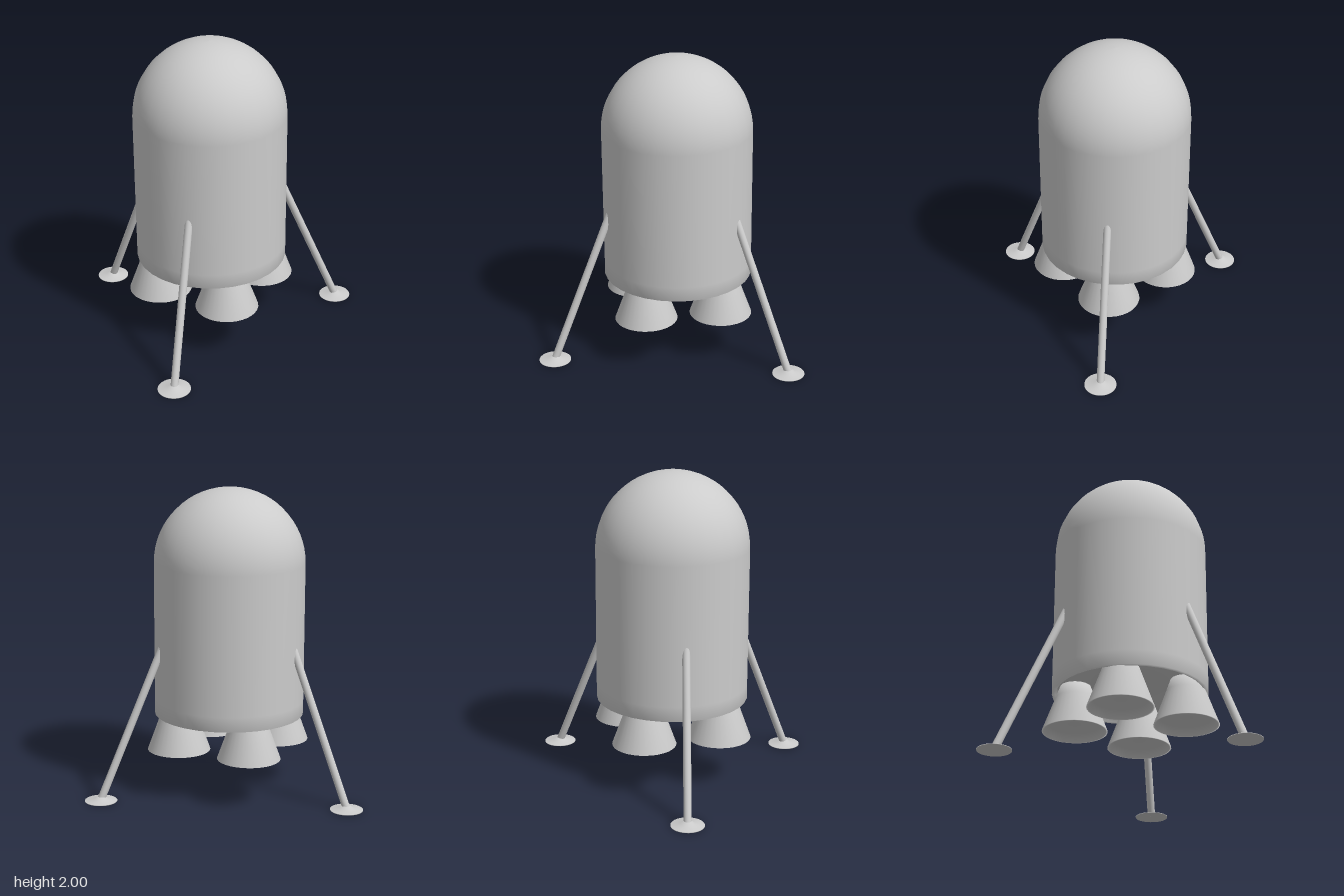
import * as THREE from 'three';

const mat = new THREE.MeshStandardMaterial({ color: 0xcccccc, side: THREE.DoubleSide });

// Surface of revolution from [radius, y] pairs, listed bottom to top on the outside
function lathe(name, pts, segments = 32) {
  const geo = new THREE.LatheGeometry(pts.map(([r, y]) => new THREE.Vector2(r, y)), segments);
  const mesh = new THREE.Mesh(geo, mat);
  mesh.name = name;
  return mesh;
}

// Round bar between two points
function strut(name, a, b, radius) {
  const dir = b.clone().sub(a);
  const mesh = new THREE.Mesh(new THREE.CylinderGeometry(radius, radius, dir.length(), 16), mat);
  mesh.position.copy(a).add(b).multiplyScalar(0.5);
  mesh.quaternion.setFromUnitVectors(new THREE.Vector3(0, 1, 0), dir.normalize());
  mesh.name = name;
  return mesh;
}

export function createModel() {
  const model = new THREE.Group();
  model.name = 'lander';
  const cx = -0.185, cz = -0.02, R = 0.49, base = 0.515, shoulder = 1.51;

  // Capsule hull: shallow recessed underside, straight wall, hemispherical dome
  const profile = [[0, base + 0.08], [0.46, base + 0.08], [0.465, base], [R, base], [R, 0.61], [R, shoulder]];
  for (let i = 1; i <= 16; i++) {
    const a = (i / 16) * Math.PI / 2;
    profile.push([i === 16 ? 0 : R * Math.cos(a), shoulder + R * Math.sin(a)]);
  }
  const hull = lathe('hull', profile);
  hull.position.set(cx, 0, cz);
  model.add(hull);

  // Four flared engine nozzles around the underside
  for (let i = 0; i < 4; i++) {
    const a = (i * Math.PI) / 2;
    const nozzle = lathe('nozzle', [
      [0, 0.345], [0.165, 0.345], [0.195, 0.295], [0.205, 0.295], [0.125, 0.515], [0.095, 0.6], [0, 0.6],
    ]);
    nozzle.position.set(cx + 0.35 * Math.cos(a), 0, cz + 0.35 * Math.sin(a));
    model.add(nozzle);
  }

  // Three splayed legs: foot position and the point where each meets the hull
  const legs = [
    { foot: [0.705, -0.025], joint: [0.305, -0.025] },
    { foot: [-0.65, 0.725], joint: [-0.452, 0.392] },
    { foot: [-0.71, -0.735], joint: [-0.5, -0.395] },
  ];
  for (const { foot, joint } of legs) {
    const leg = new THREE.Group();
    leg.name = 'leg';
    const bottom = new THREE.Vector3(foot[0], 0.01, foot[1]);
    const top = new THREE.Vector3(joint[0], 0.93, joint[1]);
    top.lerpVectors(bottom, top.clone(), 1.08); // run on into the hull
    leg.add(strut('legStrut', bottom, top, 0.025));
    const pad = lathe('footPad', [[0, 0], [0.105, 0.002], [0.105, 0.006], [0.045, 0.014], [0.026, 0.03], [0, 0.03]]);
    pad.position.set(foot[0], 0, foot[1]);
    leg.add(pad);
    model.add(leg);
  }
  return model;
}
